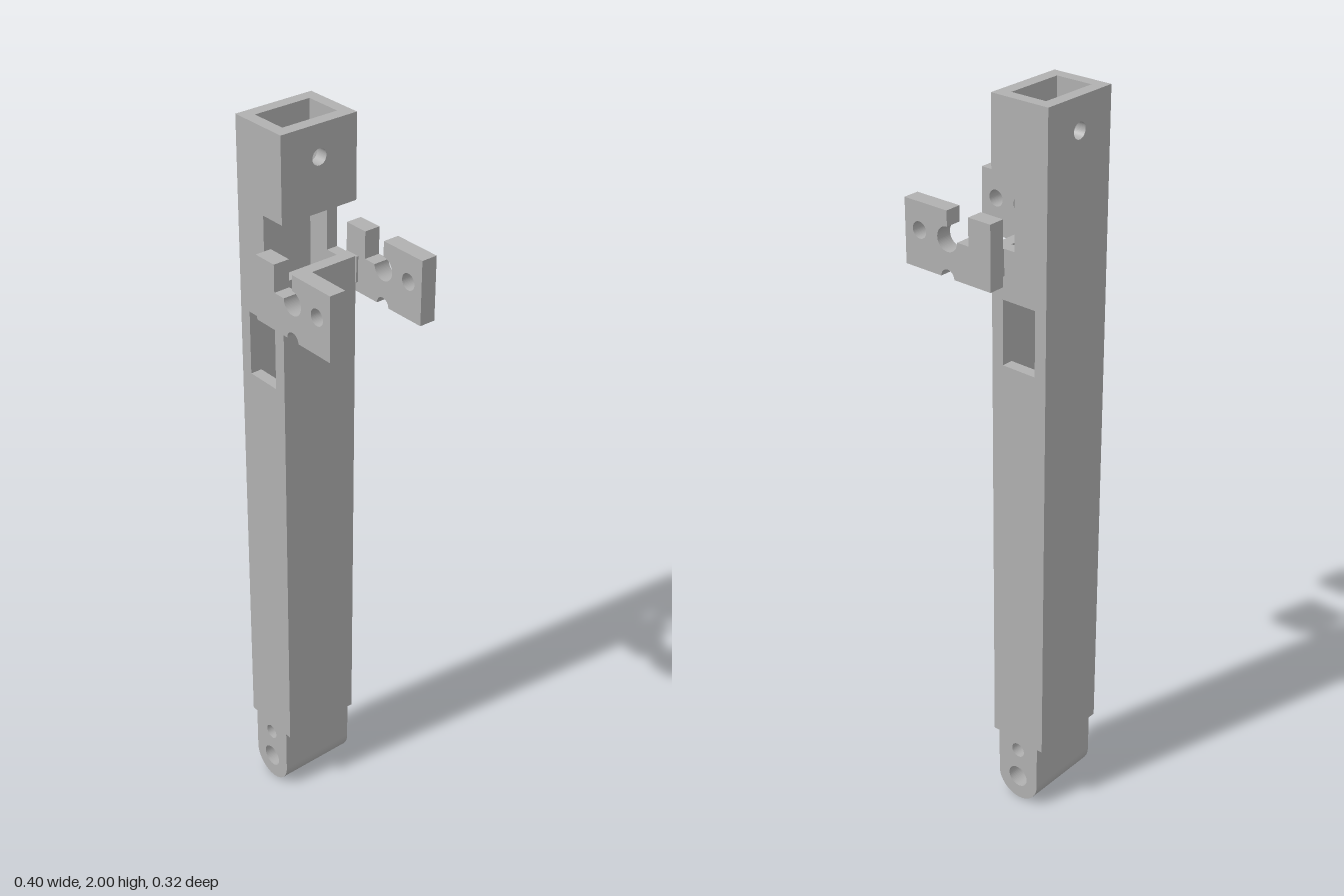
import * as THREE from 'three';

const grey = new THREE.MeshStandardMaterial({ color: 0xb0b0b0 });
grey.name = 'grey';

function polygon(points, Type = THREE.Shape) {
  return new Type(points.map(([x, y]) => new THREE.Vector2(x, y)));
}

function roundHole(x, y, r) {
  return new THREE.Path().absarc(x, y, r, 0, Math.PI * 2, true);
}

// Extrudes a shape along z from z0 to z1
function plate(name, shape, z0, z1) {
  const geometry = new THREE.ExtrudeGeometry(shape, { depth: z1 - z0, bevelEnabled: false, curveSegments: 24 });
  geometry.translate(0, 0, z0);
  const mesh = new THREE.Mesh(geometry, grey);
  mesh.name = name;
  return mesh;
}

// Wall drawn in the z-y plane, extruded along x from x0 to x1
function crossWall(name, y0, y1, x0, x1, drilled) {
  const w = 0.082;
  const shape = polygon([[-w, y0], [w, y0], [w, y1], [-w, y1]]);
  if (drilled) shape.holes.push(roundHole(0, 1.918, 0.021));
  const mesh = plate(name, shape, x0, x1);
  mesh.geometry.rotateY(Math.PI / 2);
  return mesh;
}

export function createModel() {
  const model = new THREE.Group();
  model.name = 'hollowArm';
  const left = -0.202, right = -0.033, halfDepth = 0.113;

  // Side plates of the hollow post, with a window and an edge notch
  const side = polygon([
    [left, 0.197], [right, 0.197], [right, 1.63], [-0.104, 1.63],
    [-0.104, 1.778], [right, 1.778], [right, 2], [left, 2],
  ]);
  side.holes.push(polygon([[-0.168, 1.323], [-0.168, 1.498], [-0.067, 1.498], [-0.067, 1.323]], THREE.Path));
  model.add(plate('frontPostWall', side, 0.081, halfDepth));
  model.add(plate('backPostWall', side, -halfDepth, -0.081));

  // Cross walls, open at the notch
  model.add(crossWall('outerPostWall', 0.197, 2, left, -0.169, true));
  model.add(crossWall('innerPostWallLower', 0.197, 1.63, -0.067, right, false));
  model.add(crossWall('innerPostWallUpper', 1.778, 2, -0.067, right, true));

  // Rounded foot with two pivot holes
  const cx = -0.118, r = 0.067;
  const foot = new THREE.Shape();
  foot.moveTo(cx + r, 0.198);
  foot.lineTo(cx - r, 0.198);
  foot.lineTo(cx - r, r);
  foot.absarc(cx, r, r, Math.PI, Math.PI * 2, false);
  foot.closePath();
  foot.holes.push(roundHole(cx, 0.071, 0.031), roundHole(cx, 0.162, 0.021));
  model.add(plate('foot', foot, -halfDepth, halfDepth));

  // Bracket outline: stepped top, round seat and a half-round bottom groove
  const seatX = 0.065, seatY = 1.632, seatR = 0.032;
  const bracket = new THREE.Shape();
  bracket.moveTo(-0.072, 1.533);
  bracket.lineTo(seatX - 0.021, 1.533);
  bracket.absarc(seatX, 1.533, 0.021, Math.PI, 0, true);
  bracket.lineTo(0.202, 1.533);
  bracket.lineTo(0.202, 1.705);
  bracket.lineTo(seatX, 1.705);
  bracket.lineTo(seatX, seatY + seatR);
  bracket.absarc(seatX, seatY, seatR, Math.PI / 2, -Math.PI, true);
  bracket.lineTo(-0.003, seatY);
  bracket.lineTo(-0.003, 1.705);
  bracket.lineTo(-0.072, 1.705);
  bracket.closePath();
  bracket.holes.push(roundHole(0.155, seatY, 0.022));
  model.add(plate('frontBracket', bracket, 0.117, 0.162));
  model.add(plate('backBracket', bracket, -0.162, -0.117));

  // Thin spacers joining the brackets to the post
  for (const s of [1, -1]) {
    const spacer = new THREE.Mesh(new THREE.BoxGeometry(0.044, 0.07, 0.007), grey);
    spacer.name = s > 0 ? 'frontSpacer' : 'backSpacer';
    spacer.position.set(-0.05, 1.595, s * 0.1145);
    model.add(spacer);
  }
  return model;
}
